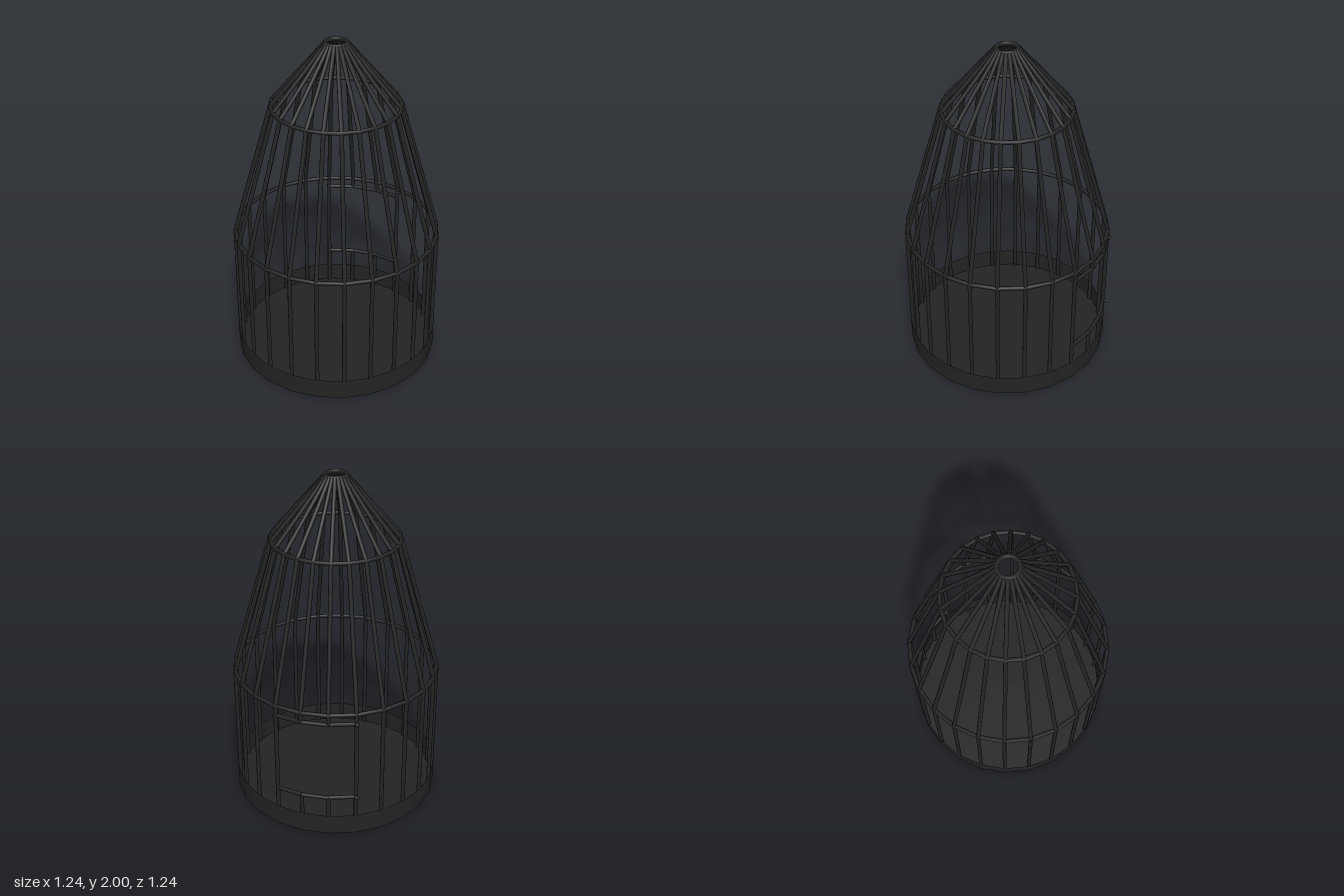
import * as THREE from 'three';

const SIDES = 24;
const BAR = 0.0125; // wire radius
// wire centre line: [radius, height]
const PROFILE = [[0.605, 0.01], [0.605, 0.81], [0.372, 1.62], [0.06, 1.988]];

const at = (i, r, y) => {
  const a = (i / SIDES) * Math.PI * 2;
  return new THREE.Vector3(Math.sin(a) * r, y, Math.cos(a) * r);
};

export function createModel() {
  const iron = new THREE.MeshStandardMaterial({ color: 0x232323 });
  iron.name = 'blackIron';
  const ironSheet = new THREE.MeshStandardMaterial({ color: 0x232323, side: THREE.DoubleSide });
  ironSheet.name = 'blackIronSheet';
  const model = new THREE.Group();
  model.name = 'birdcage';

  const group = (name) => {
    const g = new THREE.Group();
    g.name = name;
    model.add(g);
    return g;
  };
  const add = (parent, name, geometry, material = iron) => {
    const m = new THREE.Mesh(geometry, material);
    m.name = name;
    parent.add(m);
    return m;
  };
  // round wire between two points
  const wire = (parent, name, a, b, r = BAR) => {
    const m = add(parent, name, new THREE.CylinderGeometry(r, r, a.distanceTo(b), 8));
    m.position.copy(a).add(b).multiplyScalar(0.5);
    m.quaternion.setFromUnitVectors(new THREE.Vector3(0, 1, 0), b.clone().sub(a).normalize());
  };

  // shallow tray: thin wall and floor
  const tray = group('tray');
  add(tray, 'trayWall', new THREE.CylinderGeometry(0.617, 0.617, 0.125, SIDES, 1, true), ironSheet)
    .position.y = 0.0625;
  add(tray, 'trayFloor', new THREE.CylinderGeometry(0.615, 0.615, 0.006, SIDES)).position.y = 0.003;

  // bars; the two behind the doorway are cut between its rails
  const bars = group('bars');
  const doorway = [11, 12];
  for (let i = 0; i < SIDES; i++) {
    PROFILE.slice(1).forEach(([r, y], k) => {
      const [r0, y0] = PROFILE[k];
      if (k === 0 && doorway.includes(i)) {
        wire(bars, 'lowerDoorBar', at(i, r0, y0), at(i, r0, 0.25));
        wire(bars, 'upperDoorBar', at(i, r0, 0.75), at(i, r0, y));
      } else {
        wire(bars, 'bar', at(i, r0, y0), at(i, r, y));
      }
    });
  }

  // hoops, with corners on the bars
  const hoops = group('hoops');
  [['lowerHoop', 1], ['upperHoop', 2], ['crownHoop', 3]].forEach(([name, k]) => {
    const [r, y] = PROFILE[k];
    const hoop = add(hoops, name, new THREE.TorusGeometry(r, BAR, 8, SIDES));
    hoop.rotation.x = Math.PI / 2;
    hoop.position.y = y;
  });

  // door rails across three bays at the back
  const door = group('doorRails');
  for (const y of [0.25, 0.75]) {
    for (let i = 10; i < 13; i++) {
      wire(door, 'doorRail', at(i, 0.605, y), at(i + 1, 0.605, y));
    }
    add(door, 'railEnd', new THREE.SphereGeometry(0.014, 10, 8)).position.copy(at(13, 0.615, y));
  }
  return model;
}
